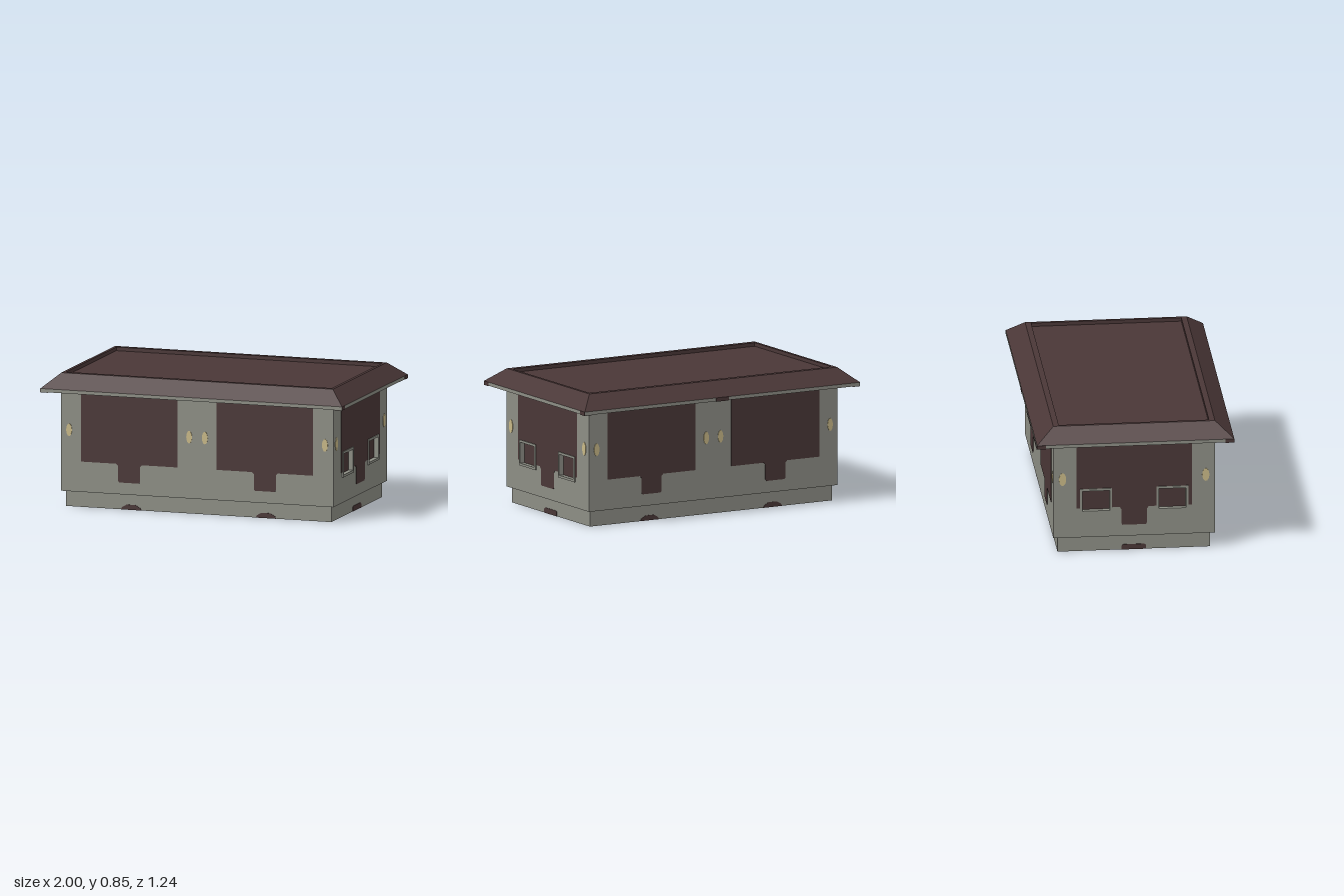
import * as THREE from 'three';

const mat = (name, color) => new THREE.MeshStandardMaterial({ name, color, side: THREE.DoubleSide });

// Rectangular skin through rings of [half width, half depth, height]
function loft(rings) {
  const corners = [[1, 1], [1, -1], [-1, -1], [-1, 1]];
  const pos = [];
  for (let r = 0; r < rings.length - 1; r++) {
    for (let i = 0; i < 4; i++) {
      const at = (ring, k) => [corners[k % 4][0] * ring[0], ring[2], corners[k % 4][1] * ring[1]];
      const a = at(rings[r], i), b = at(rings[r], i + 1);
      const c = at(rings[r + 1], i + 1), d = at(rings[r + 1], i);
      pos.push(...a, ...b, ...c, ...a, ...c, ...d);
    }
  }
  const g = new THREE.BufferGeometry();
  g.setAttribute('position', new THREE.Float32BufferAttribute(pos, 3));
  g.computeVertexNormals();
  return g;
}

const poly = (pts) => new THREE.Shape(pts.map(([x, y]) => new THREE.Vector2(x, y)));
const rect = (x0, x1, y0, y1) => poly([[x0, y0], [x1, y0], [x1, y1], [x0, y1]]);

// Plate centred on local z = 0
function plate(shape, depth = 0.006) {
  const g = new THREE.ExtrudeGeometry(shape, { depth, bevelEnabled: false, curveSegments: 8 });
  return g.translate(0, 0, -depth / 2);
}

export function createModel() {
  const root = new THREE.Group();
  root.name = 'building';
  const grey = mat('concreteGrey', 0x8d8e85);
  const brown = mat('darkBrown', 0x4a3737);
  const tan = mat('lampTan', 0xc8b887);

  function add(parent, name, geometry, material, x = 0, y = 0, z = 0) {
    const m = new THREE.Mesh(geometry, material);
    m.name = name;
    m.position.set(x, y, z);
    parent.add(m);
    return m;
  }

  // Plinth with the ledge under the walls, open below
  add(root, 'plinth', loft([[0.88, 0.48, 0], [0.88, 0.48, 0.1], [0.903, 0.508, 0.1]]), grey);

  // Eaves: soffit and fascia
  add(root, 'eaves', loft([[0.903, 0.508, 0.74], [1, 0.62, 0.74], [1, 0.62, 0.762]]), grey);

  // Sloped roof edge, parapet and sunken deck
  add(root, 'roofEdge', loft([
    [1, 0.62, 0.762], [0.9, 0.508, 0.85], [0.88, 0.472, 0.85], [0.88, 0.472, 0.825],
  ]), brown);
  add(root, 'roofDeck', new THREE.BoxGeometry(1.76, 0.008, 0.944), brown, 0, 0.823, 0);

  const lamp = (w, h) => {
    const s = new THREE.Shape();
    s.absellipse(0, 0, w / 2, h / 2, 0, Math.PI * 2);
    return plate(s);
  };

  // Long walls, front and back
  for (const [name, turn] of [['front', 0], ['back', Math.PI]]) {
    const wall = new THREE.Group();
    wall.name = name + 'Wall';
    wall.rotation.y = turn;
    root.add(wall);
    add(wall, 'wallFace', new THREE.ShapeGeometry(rect(-0.903, 0.903, 0.1, 0.762)), grey, 0, 0, 0.508);

    for (const s of [-1, 1]) {
      // Wide panel with a stem below
      const panel = plate(poly([
        [-0.32, 0.74], [-0.32, 0.293], [-0.085, 0.293], [-0.073, 0.28], [-0.073, 0.185], [-0.065, 0.175],
        [0.065, 0.175], [0.073, 0.185], [0.073, 0.28], [0.085, 0.293], [0.32, 0.293], [0.32, 0.74],
      ]));
      add(wall, 'panel', panel, brown, s * 0.45, 0, 0.508);
      add(wall, 'soffitStrip', new THREE.BoxGeometry(0.64, 0.004, 0.035), brown, s * 0.45, 0.739, 0.526);
      add(wall, 'plinthVent', plate(poly([
        [-0.068, 0], [0.068, 0], [0.06, 0.015], [0.03, 0.032], [-0.03, 0.032], [-0.06, 0.015],
      ])), brown, s * 0.447, 0, 0.48);
      for (const x of [0.052, 0.848]) add(wall, 'lamp', lamp(0.038, 0.08), tan, s * x, 0.49, 0.508);
    }
  }

  // Patch under the middle of the back eaves
  add(root, 'eavesPatch', new THREE.BoxGeometry(0.09, 0.022, 0.004), brown, 0, 0.751, -0.62);
  add(root, 'eavesPatch', new THREE.BoxGeometry(0.09, 0.004, 0.11), brown, 0, 0.739, -0.564);

  // Short walls with window openings
  for (const [name, turn] of [['left', Math.PI / 2], ['right', -Math.PI / 2]]) {
    const wall = new THREE.Group();
    wall.name = name + 'Wall';
    wall.rotation.y = turn;
    root.add(wall);

    const face = rect(-0.508, 0.508, 0.1, 0.762);
    for (const s of [-1, 1]) face.holes.push(rect(s * 0.24 - 0.092, s * 0.24 + 0.092, 0.27, 0.417));
    add(wall, 'wallFace', new THREE.ShapeGeometry(face), grey, 0, 0, 0.903);

    // Panel outline notched around both windows, mirrored about the middle
    const half = [
      [0.073, 0.175], [0.08, 0.185], [0.08, 0.28], [0.092, 0.295], [0.148, 0.295], [0.148, 0.417],
      [0.332, 0.417], [0.332, 0.295], [0.363, 0.295], [0.363, 0.74],
    ];
    const mirrored = half.map(([x, y]) => [-x, y]).reverse();
    add(wall, 'panel', plate(poly([...half, ...mirrored])), brown, 0, 0, 0.903);
    add(wall, 'soffitStrip', new THREE.BoxGeometry(0.72, 0.004, 0.035), brown, 0, 0.739, 0.921);
    add(wall, 'plinthVent', plate(poly([
      [-0.077, 0], [0.077, 0], [0.077, 0.026], [0.065, 0.034], [-0.065, 0.034], [-0.077, 0.026],
    ])), brown, 0, 0, 0.88);

    for (const s of [-1, 1]) {
      // Deep window frame with a recessed pane
      const frame = rect(-0.101, 0.101, 0.262, 0.425);
      frame.holes.push(rect(-0.086, 0.086, 0.277, 0.41));
      add(wall, 'windowFrame', plate(frame, 0.04), grey, s * 0.24, 0, 0.891);
      add(wall, 'windowPane', plate(rect(-0.088, 0.088, 0.275, 0.412)), brown, s * 0.24, 0, 0.877);
      add(wall, 'lamp', lamp(0.045, 0.085), tan, s * 0.45, 0.492, 0.903);
      // Dark eaves corners
      add(wall, 'cornerFascia', new THREE.BoxGeometry(0.055, 0.022, 0.004), brown, s * 0.592, 0.751, 0.999);
      add(wall, 'cornerSoffit', new THREE.BoxGeometry(0.055, 0.004, 0.05), brown, s * 0.592, 0.739, 0.975);
    }
  }

  return root;
}
